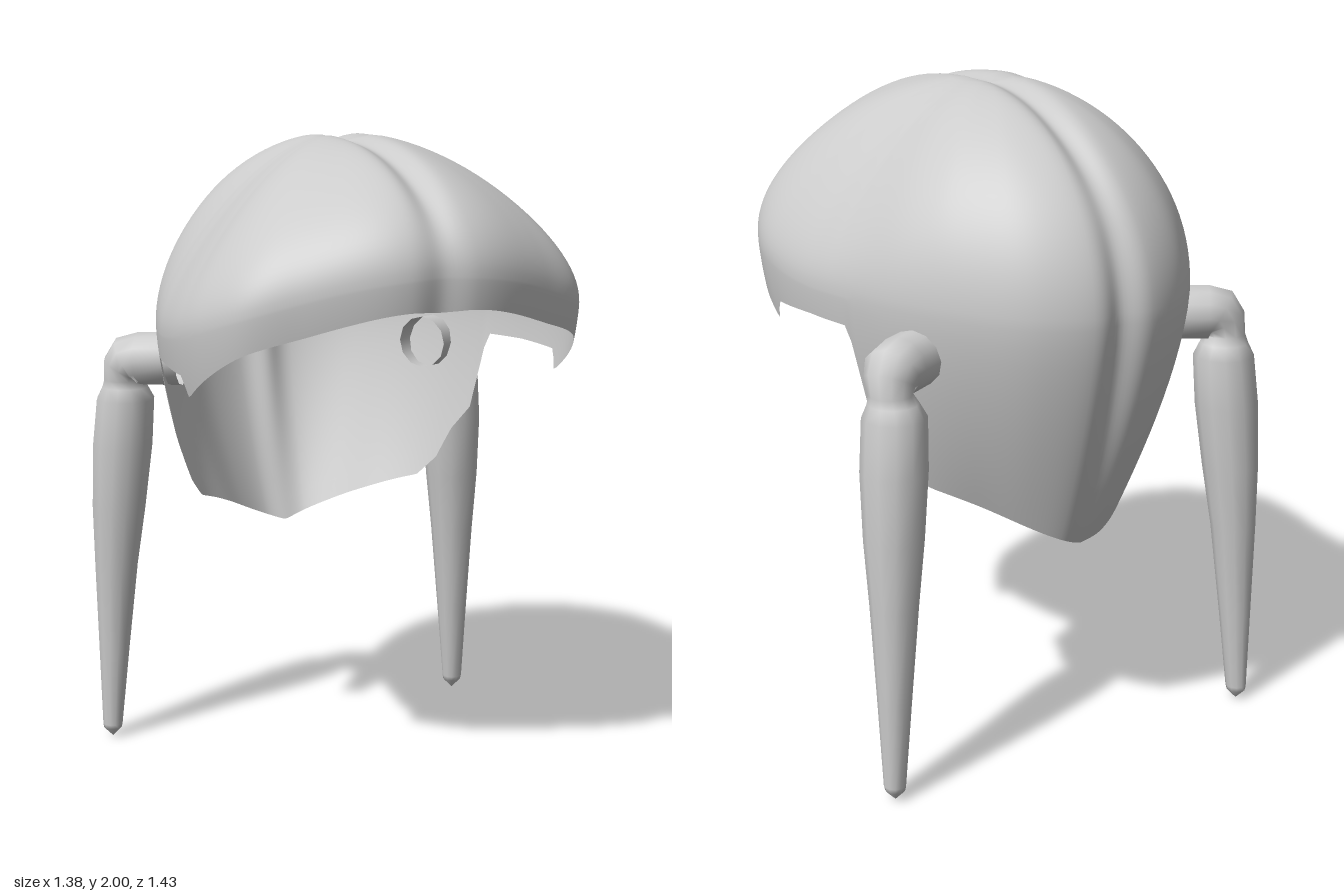
import * as THREE from 'three';

const material = new THREE.MeshStandardMaterial({ color: 0xcccccc, side: THREE.DoubleSide });

// Joins equal-length closed rings of points into a smooth skin.
function skin(name, rings, flip = false) {
  const n = rings[0].length, index = [];
  for (let j = 0; j < rings.length - 1; j++) {
    for (let i = 0; i < n; i++) {
      const a = j * n + i, b = j * n + (i + 1) % n, c = a + n, d = b + n;
      if (flip) index.push(a, b, c, b, d, c);
      else index.push(a, c, b, b, c, d);
    }
  }
  const geometry = new THREE.BufferGeometry().setFromPoints(rings.flat());
  geometry.setIndex(index);
  geometry.computeVertexNormals();
  const mesh = new THREE.Mesh(geometry, material);
  mesh.name = name;
  return mesh;
}

// Piecewise linear lookup in a table of [key, value], keys descending.
function lookup(table, k) {
  for (let i = 0; i < table.length - 1; i++) {
    const [k0, v0] = table[i], [k1, v1] = table[i + 1];
    if (k >= k1) return THREE.MathUtils.lerp(v0, v1, Math.min(1, (k0 - k) / (k0 - k1)));
  }
  return table[table.length - 1][1];
}

// Widest outline of the hair seen from above (x, z), front to back.
const halfOutline = [
  [0, 0.705], [0.1, 0.712], [0.2, 0.69], [0.38, 0.605], [0.53, 0.51], [0.6, 0.38], [0.62, 0.23],
  [0.6, 0.02], [0.565, -0.13], [0.5, -0.32], [0.38, -0.51], [0.25, -0.645], [0.1, -0.715], [0, -0.715],
];

// Height of the cut edge by depth: fringe, temple notch, ear opening, nape.
const rimByDepth = [
  [0.705, 1.55], [0.61, 1.49], [0.5, 1.425], [0.29, 1.29], [0.265, 1.28], [0.24, 1.34], [0.05, 1.345],
  [-0.12, 1.34], [-0.125, 1.3], [-0.145, 1.27], [-0.15, 1.1], [-0.24, 1.0], [-0.26, 0.93], [-0.35, 0.85],
];

// How much the dome is flattened by direction (c is 1 at the front, -1 at the back).
const flattenByDirection = [
  [1, -0.04], [0.9, 0.08], [0.7, 0.26], [0.4, 0.4], [0.1, 0.42], [-0.1, 0.38], [-0.25, 0.29],
  [-0.45, 0.16], [-0.7, 0.03], [-0.9, 0], [-1, 0.01],
];

function hairShell() {
  const mirrored = halfOutline.slice(1, -1).reverse().map(([x, z]) => [-x, z]);
  const loop = [...halfOutline, ...mirrored].map(([x, z]) => new THREE.Vector3(x, 0, z));
  const outline = new THREE.CatmullRomCurve3(loop, true);
  const count = loop.length * 8, upper = 28, lower = 12;
  const rings = Array.from({ length: upper + lower + 1 }, () => []);

  for (let i = 0; i < count; i++) {
    const p = outline.getPoint(i / count);
    const c = p.z / Math.hypot(p.x, p.z);
    // Height of the widest point and how fast the sides draw in below it
    const wideY = c > 0 ? 1.43 + 0.22 * c * c : 1.43 - 0.03 * c * c;
    const flatten = lookup(flattenByDirection, c);
    const drawIn = 0.47 + (c < 0 ? 0.5 * c ** 4 * (1 - c ** 4) : 0);
    const rimY = p.z < -0.35 ? 0.68 + 0.17 * Math.min(1, Math.abs(p.x) / 0.48) ** 1.2 : lookup(rimByDepth, p.z);

    rings.forEach((ring, j) => {
      let scale, y;
      if (j <= upper) {
        const a = (j / upper) * Math.PI / 2;
        scale = Math.sin(a);
        y = wideY + (2.01 - wideY) * Math.cos(a) * (1 - flatten * scale * scale);
      } else {
        const drop = (wideY - rimY) * (j - upper) / lower;
        scale = 1 - drawIn * Math.pow(drop, 1.5);
        y = wideY - drop;
      }
      const v = new THREE.Vector3(p.x * scale, y, p.z * scale);
      // Shallow parting along the middle, deepest on the crown
      const groove = Math.exp(-((v.x / 0.045) ** 2));
      v.z *= 1 - (c > 0 ? 0.01 : 0.028) * groove * THREE.MathUtils.smoothstep(y, 0.7, 1.3);
      v.y -= 0.028 * groove * THREE.MathUtils.smoothstep(y, 1.65, 1.95);
      ring.push(v);
    });
  }
  return skin('hairShell', rings);
}

// Stations of a braid on the model's left: x, y, z, radius, tilt of its axis
// below the horizontal in degrees.
const braidStations = [
  [0.42, 1.29, -0.325, 0.085, 0], [0.54, 1.288, -0.395, 0.085, 0], [0.57, 1.28, -0.405, 0.084, 30],
  [0.583, 1.255, -0.413, 0.074, 62], [0.585, 1.22, -0.422, 0.064, 90], [0.58, 1.195, -0.427, 0.074, 90],
  [0.578, 1.155, -0.43, 0.094, 90], [0.588, 1.0, -0.441, 0.098, 90], [0.6, 0.8, -0.456, 0.088, 90],
  [0.61, 0.6, -0.47, 0.071, 90], [0.621, 0.3, -0.483, 0.05, 90], [0.63, 0.045, -0.493, 0.033, 90],
  [0.63, 0.03, -0.495, 0.03, 90], [0.63, 0, -0.495, 0.001, 90],
];

function braid(name, side) {
  const sides = 12;
  const out = new THREE.Vector3(0.83, 0, -0.56).normalize();
  const across = new THREE.Vector3(-out.z, 0, out.x);
  const rings = braidStations.map(([x, y, z, r, tilt]) => {
    const t = THREE.MathUtils.degToRad(tilt);
    const up = out.clone().multiplyScalar(Math.sin(t)).setY(Math.cos(t));
    return Array.from({ length: sides }, (_, i) => {
      const a = (i / sides) * Math.PI * 2;
      const v = new THREE.Vector3(x, y, z)
        .addScaledVector(across, r * Math.cos(a))
        .addScaledVector(up, r * Math.sin(a));
      v.x *= side;
      return v;
    });
  });
  return skin(name, rings, side > 0);
}

export function createModel() {
  const group = new THREE.Group();
  group.name = 'hairWithBraids';
  group.add(hairShell(), braid('leftBraid', 1), braid('rightBraid', -1));
  return group;
}
